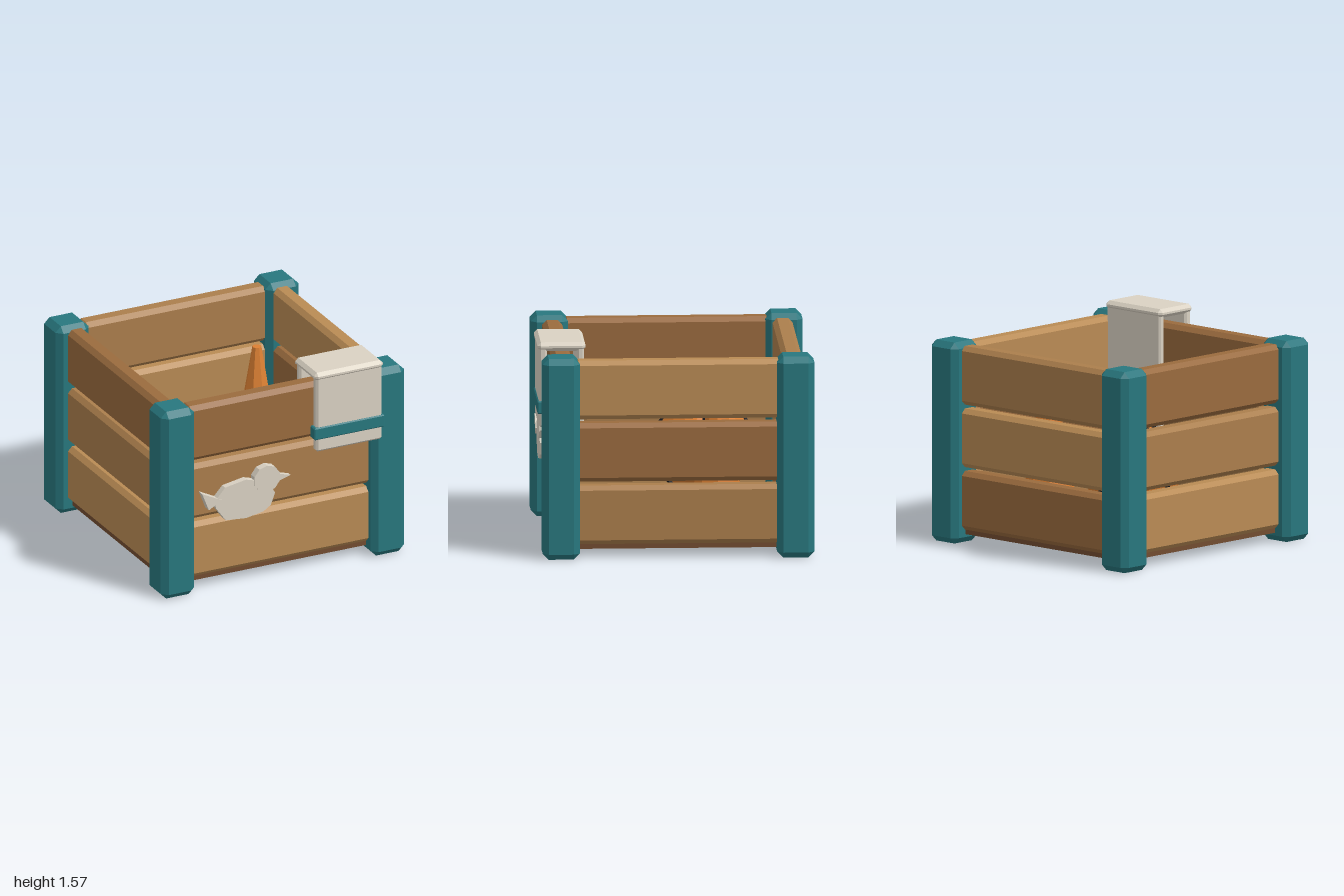
import * as THREE from 'three';
import { ConvexGeometry } from 'three/addons/geometries/ConvexGeometry.js';

const paint = (color) => new THREE.MeshStandardMaterial({ color, flatShading: true });
const TEAL = paint(0x28777e), CREAM = paint(0xdad2c3), ORANGE = paint(0xdc8033);
const BLACK = paint(0x191b20), FLOOR = paint(0x724c30);
const WOODS = [paint(0xb98b54), paint(0xab7e4c), paint(0x9a6b3e)];

export function createModel() {
  const root = new THREE.Group();
  root.name = 'crate';

  const add = (name, geometry, material, x = 0, y = 0, z = 0, parent = root) => {
    const mesh = new THREE.Mesh(geometry, material);
    mesh.name = name;
    mesh.position.set(x, y, z);
    parent.add(mesh);
    return mesh;
  };

  // Box with every edge cut at 45 degrees, given by its min and max corners
  const chamferBox = (name, material, [x0, y0, z0], [x1, y1, z1], c, parent = root) => {
    const w = (x1 - x0) / 2, h = (y1 - y0) / 2, d = (z1 - z0) / 2;
    const points = [];
    for (const i of [-1, 1]) for (const j of [-1, 1]) for (const k of [-1, 1]) {
      points.push(
        new THREE.Vector3(i * w, j * (h - c), k * (d - c)),
        new THREE.Vector3(i * (w - c), j * h, k * (d - c)),
        new THREE.Vector3(i * (w - c), j * (h - c), k * d));
    }
    return add(name, new ConvexGeometry(points), material,
      (x0 + x1) / 2, (y0 + y1) / 2, (z0 + z1) / 2, parent);
  };

  // Corner posts
  for (const x of [-0.85, 0.85]) for (const z of [-0.865, 0.835]) {
    chamferBox('cornerPost', TEAL, [x - 0.135, 0, z - 0.135], [x + 0.135, 1.48, z + 0.135], 0.044);
  }

  // Wall boards, three per side, with the wood tones shifted from side to side
  const sides = [
    ['frontBoard', [-0.75, 0.745], [0.75, 0.89]],
    ['leftBoard', [0.76, -0.77], [0.905, 0.74]],
    ['backBoard', [-0.75, -0.925], [0.75, -0.78]],
    ['rightBoard', [-0.905, -0.77], [-0.76, 0.74]],
  ];
  sides.forEach(([name, a, b], side) => {
    for (let i = 0; i < 3; i++) {
      const y = 0.1 + 0.46 * i;
      chamferBox(name, WOODS[(i + side) % 3], [a[0], y, a[1]], [b[0], y + 0.432, b[1]], 0.033);
    }
  });

  // Floor
  add('floor', new THREE.BoxGeometry(1.74, 0.135, 1.74), FLOOR, 0, 0.1325, -0.015);

  // Ball with three hoops
  const ball = new THREE.Group();
  ball.name = 'ball';
  ball.position.set(-0.365, 0.585, -0.26);
  root.add(ball);
  add('ballBody', new THREE.IcosahedronGeometry(0.36, 1), ORANGE, 0, 0, 0, ball);
  for (const [rx, ry] of [[0, 0], [0, Math.PI / 2], [Math.PI / 2, 0]]) {
    add('ballHoop', new THREE.TorusGeometry(0.36, 0.02, 5, 14), BLACK, 0, 0, 0, ball)
      .rotation.set(rx, ry, 0);
  }

  // Marker cone: base plate, tapered body, pale band
  const cone = new THREE.Group();
  cone.name = 'markerCone';
  cone.position.set(0.42, 0.2, -0.32);
  root.add(cone);
  const coneBottom = 0.06, coneTop = 1.03;
  const radiusAt = (y) => THREE.MathUtils.mapLinear(y, coneBottom, coneTop, 0.2, 0.035);
  add('coneBase', new THREE.CylinderGeometry(0.27, 0.27, 0.06, 8), ORANGE, 0, 0.03, 0, cone);
  add('coneBody', new THREE.CylinderGeometry(0.035, 0.2, coneTop - coneBottom, 8), ORANGE,
    0, (coneBottom + coneTop) / 2, 0, cone);
  add('coneBand', new THREE.CylinderGeometry(radiusAt(0.62) + 0.012, radiusAt(0.47) + 0.012, 0.15, 8),
    CREAM, 0, 0.545, 0, cone);

  // Cloth hung over the front wall: outer flap, top fold, inner flap, stripe
  const cloth = new THREE.Group();
  cloth.name = 'hangingCloth';
  root.add(cloth);
  chamferBox('clothOuterFlap', CREAM, [0.245, 0.945, 0.93], [0.78, 1.54, 0.99], 0.015, cloth);
  chamferBox('clothTop', CREAM, [0.23, 1.505, 0.65], [0.79, 1.57, 1.0], 0.025, cloth);
  chamferBox('clothInnerFlap', CREAM, [0.245, 0.66, 0.66], [0.78, 1.54, 0.715], 0.015, cloth);
  chamferBox('clothStripe', TEAL, [0.225, 1.045, 0.925], [0.795, 1.14, 1.0], 0.008, cloth);

  // Flat bird cut-out on the front
  const bird = new THREE.Group();
  bird.name = 'birdCutout';
  root.add(bird);
  const plate = (name, points, z0, z1) => add(name,
    new THREE.ExtrudeGeometry(new THREE.Shape(points.map(([x, y]) => new THREE.Vector2(x, y))),
      { depth: z1 - z0, bevelEnabled: false }), CREAM, 0, 0, z0, bird);
  plate('birdBody', [[-0.55, 0.7], [-0.545, 0.64], [-0.465, 0.53], [-0.3, 0.515], [-0.16, 0.54],
    [-0.1, 0.58], [-0.065, 0.67], [-0.11, 0.75], [-0.2, 0.79], [-0.3, 0.82], [-0.47, 0.79]], 0.88, 0.94);
  plate('birdHead', Array.from({ length: 10 }, (_, i) => {
    const a = (i + 0.5) * Math.PI / 5;
    return [-0.133 + 0.107 * Math.cos(a), 0.795 + 0.105 * Math.sin(a)];
  }), 0.88, 0.948);
  plate('birdBeak', [[-0.04, 0.755], [0.06, 0.785], [-0.04, 0.815]], 0.905, 0.94);
  plate('birdTail', [[-0.66, 0.78], [-0.605, 0.64], [-0.5, 0.7]], 0.885, 0.948);

  return root;
}
